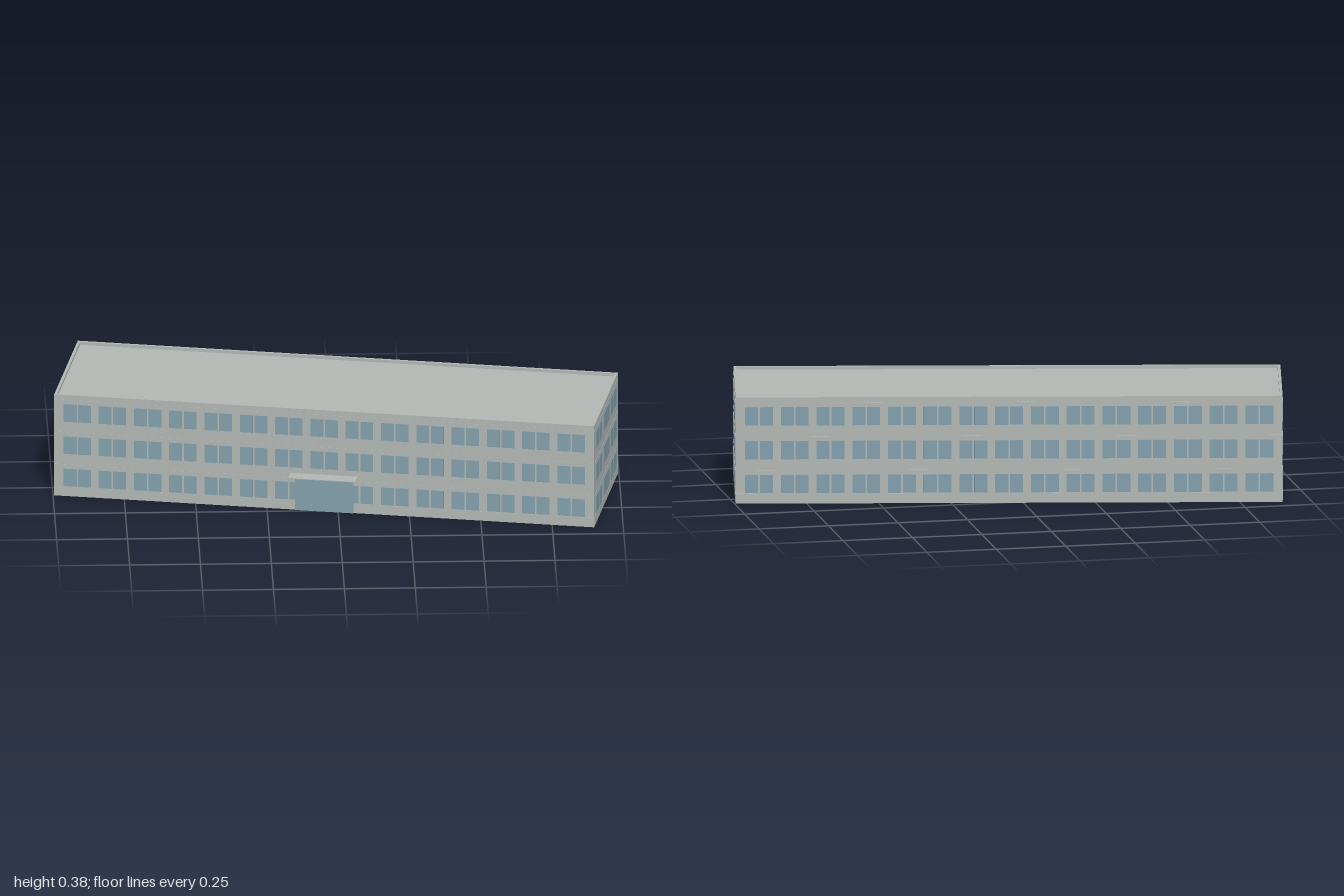
import * as THREE from 'three';

const L = 1.928, W = 0.521, H = 0.383, ROOF = 0.372;

export function createModel() {
  // The walls and roof are an open-bottomed shell, seen from both sides
  const concrete = new THREE.MeshStandardMaterial({ name: 'pale concrete', color: 0xb3b8b5, side: THREE.DoubleSide });
  const glass = new THREE.MeshStandardMaterial({ name: 'window glass', color: 0x82a0ac });

  const building = new THREE.Group();
  building.name = 'building';

  function add(name, geometry, material, parent, x, y, z) {
    const mesh = new THREE.Mesh(geometry, material);
    mesh.name = name;
    mesh.position.set(x, y, z);
    parent.add(mesh);
    return mesh;
  }

  // Thin plate lying on a wall, standing out by depth
  function plate(name, w, h, depth, x, bottom, material, parent) {
    add(name, new THREE.BoxGeometry(w, h, depth), material, parent, x, bottom + h / 2, depth / 2 + 0.0004);
  }

  // Flat roof
  add('roof', new THREE.PlaneGeometry(L, W).rotateX(-Math.PI / 2), concrete, building, 0, ROOF, 0);

  // Parapet: a rectangle with a hole, extruded upwards
  const rim = 0.01;
  const rect = (Type, w, d) => new Type([
    new THREE.Vector2(-w / 2, -d / 2), new THREE.Vector2(w / 2, -d / 2),
    new THREE.Vector2(w / 2, d / 2), new THREE.Vector2(-w / 2, d / 2),
  ]);
  const outline = rect(THREE.Shape, L, W);
  outline.holes.push(rect(THREE.Path, L - 2 * rim, W - 2 * rim));
  const rimGeometry = new THREE.ExtrudeGeometry(outline, { depth: H - ROOF, bevelEnabled: false });
  add('parapet', rimGeometry.rotateX(-Math.PI / 2), concrete, building, 0, ROOF, 0);

  // Each facade is a group whose +z points out of the wall
  function facade(name, angle, width, distance, count, pitch, paneWidth, gap) {
    const group = new THREE.Group();
    group.name = name;
    group.rotation.y = angle;
    group.position.set(Math.sin(angle) * distance, 0, Math.cos(angle) * distance);
    building.add(group);

    add('wall', new THREE.PlaneGeometry(width, ROOF), concrete, group, 0, ROOF / 2, 0);
    plate('plinth', width + 0.002, 0.031, 0.001, 0, 0.005, concrete, group);
    for (const y of [0.119, 0.241, 0.363]) {
      plate('floorLine', width + 0.002, 0.0015, 0.001, 0, y, concrete, group);
    }
    for (const sill of [0.038, 0.16, 0.282]) {
      for (let i = 0; i < count; i++) {
        const x = (i - (count - 1) / 2) * pitch;
        for (const side of [-1, 1]) {
          plate('windowPane', paneWidth, 0.066, 0.0016, x + side * (paneWidth + gap) / 2, sill, glass, group);
        }
      }
    }
    return group;
  }
  const front = facade('frontFacade', 0, L, W / 2, 15, 0.126, 0.046, 0.006);
  facade('backFacade', Math.PI, L, W / 2, 15, 0.126, 0.046, 0.006);
  facade('leftEnd', Math.PI / 2, W, L / 2, 3, 0.161, 0.0585, 0.005);
  facade('rightEnd', -Math.PI / 2, W, L / 2, 3, 0.161, 0.0585, 0.005);

  // Glazed entrance under a thin flat canopy
  plate('entranceGlazing', 0.209, 0.134, 0.003, 0, 0, glass, front);
  plate('entranceCanopy', 0.24, 0.003, 0.051, 0, 0.136, concrete, front);

  // The block stands at an angle on its site
  building.rotation.y = -THREE.MathUtils.degToRad(10.87);
  const model = new THREE.Group();
  model.name = 'officeBuilding';
  model.add(building);
  return model;
}
